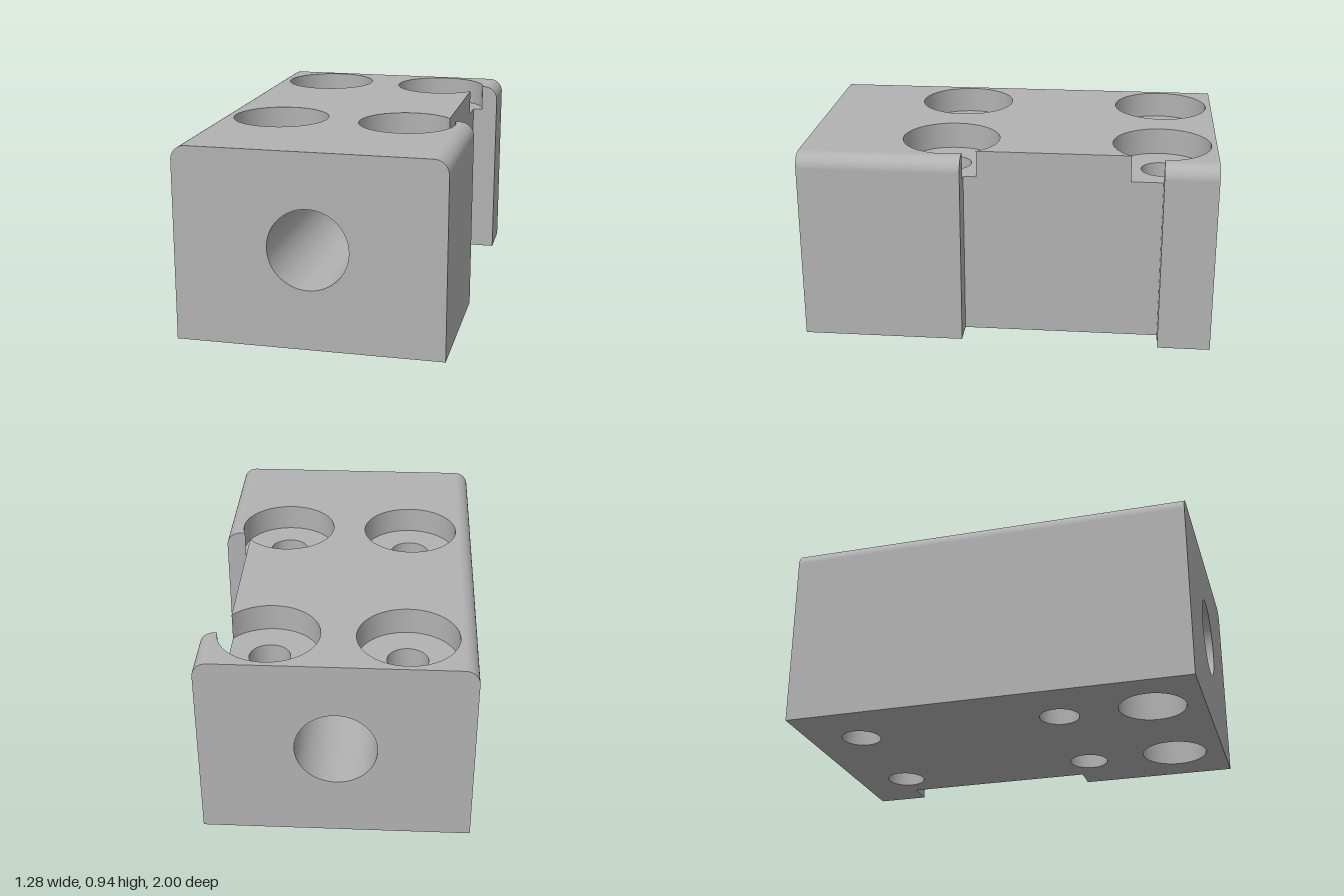
import * as THREE from 'three';

// Overall block, edge rounding, side notch
const W = 0.64, H = 0.94, L = 1, R = 0.07;
const NOTCH = { x: 0.51, z0: -0.745, z1: 0.215 };
// Vertical screw holes with counterbores, horizontal bore, blind holes underneath
const SCREW = { x: 0.32, zs: [-0.735, 0.295], r: 0.097, headR: 0.238, floor: 0.81 };
const BORE = { r: 0.193, y: 0.483 };
const BLIND = { z: 0.75, r: 0.163, depth: 0.3 };
const SEG = 48;

export function createModel() {
  const model = new THREE.Group();
  // Every part is an open surface, so both sides are shown
  const grey = new THREE.MeshStandardMaterial({ color: 0xb2b2b2, side: THREE.DoubleSide });

  const add = (name, geometry, x = 0, y = 0, z = 0) => {
    const mesh = new THREE.Mesh(geometry, grey);
    mesh.name = name;
    mesh.position.set(x, y, z);
    model.add(mesh);
  };

  // Upright flat wall from (x0, z0) to (x1, z1); faces left of its direction seen from below
  const wall = (name, x0, z0, x1, z1, y0, y1) => {
    const geo = new THREE.PlaneGeometry(Math.hypot(x1 - x0, z1 - z0), y1 - y0);
    geo.rotateY(Math.atan2(z0 - z1, x1 - x0));
    add(name, geo, (x0 + x1) / 2, (y0 + y1) / 2, (z0 + z1) / 2);
  };

  const circle = (x, y, r) => new THREE.Path().absarc(x, y, r, 0, Math.PI * 2, true);

  // Horizontal face from [x, z] points and [x, z, r] holes
  const level = (name, points, holes, y, up = true) => {
    const s = up ? -1 : 1;
    const shape = new THREE.Shape(points.map(([x, z]) => new THREE.Vector2(x, s * z)));
    shape.holes = holes.map(([x, z, r]) => circle(x, s * z, r));
    add(name, new THREE.ShapeGeometry(shape, SEG / 2).rotateX(s * Math.PI / 2), 0, y, 0);
  };

  // Points on a counterbore rim, angle measured from +z towards +x
  const rim = (cz, from, to, cx = SCREW.x) => Array.from({ length: SEG + 1 }, (_, i) => {
    const t = from + (to - from) * i / SEG;
    return [cx + SCREW.headR * Math.sin(t), cz + SCREW.headR * Math.cos(t)];
  });

  // Where each left-hand counterbore breaks out into the notch
  const { headR } = SCREW;
  const [zBack, zFront] = SCREW.zs;
  const reach = NOTCH.x - SCREW.x;
  const half = Math.sqrt(headR ** 2 - reach ** 2);
  const dzF = NOTCH.z1 - zFront, dxF = Math.sqrt(headR ** 2 - dzF ** 2);
  const dzB = NOTCH.z0 - zBack, dxB = Math.sqrt(headR ** 2 - dzB ** 2);
  const TAU = Math.PI * 2;
  const arcs = [
    { z: zBack, from: Math.atan2(reach, half), to: Math.atan2(dxB, dzB) - TAU, corner: [NOTCH.x, NOTCH.z0] },
    { z: zFront, from: Math.atan2(dxF, dzF), to: Math.atan2(reach, -half) - TAU, corner: [NOTCH.x, NOTCH.z1] },
  ];
  const [backRim, frontRim] = arcs.map(a => rim(a.z, a.from, a.to));

  // Top face
  const flat = W - R;
  level('topFace', [
    [-flat, L], [flat, L], [flat, NOTCH.z1], ...frontRim,
    ...backRim, [flat, NOTCH.z0], [flat, -L], [-flat, -L],
  ], SCREW.zs.map(z => [-SCREW.x, z, headR]), H);

  // Bottom face
  const bottomHoles = [];
  for (const x of [-SCREW.x, SCREW.x]) {
    for (const z of SCREW.zs) bottomHoles.push([x, z, SCREW.r]);
    bottomHoles.push([x, BLIND.z, BLIND.r]);
  }
  level('bottomFace', [
    [-W, L], [W, L], [W, NOTCH.z1], [NOTCH.x, NOTCH.z1],
    [NOTCH.x, NOTCH.z0], [W, NOTCH.z0], [W, -L], [-W, -L],
  ], bottomHoles, 0, false);

  // Front and back faces with rounded top corners and the bore opening
  for (const side of [1, -1]) {
    const face = new THREE.Shape();
    face.moveTo(-W, 0);
    face.lineTo(W, 0);
    face.lineTo(W, H - R);
    face.absarc(flat, H - R, R, 0, Math.PI / 2);
    face.lineTo(-flat, H);
    face.absarc(-flat, H - R, R, Math.PI / 2, Math.PI);
    face.holes.push(circle(0, BORE.y, BORE.r));
    const geo = new THREE.ShapeGeometry(face, SEG / 2);
    if (side < 0) geo.rotateY(Math.PI);
    add(side > 0 ? 'frontFace' : 'backFace', geo, 0, 0, side * L);
  }

  // Side walls and notch back wall
  wall('rightSide', -W, -L, -W, L, 0, H - R);
  wall('leftSideFront', W, L, W, NOTCH.z1, 0, H - R);
  wall('leftSideBack', W, NOTCH.z0, W, -L, 0, H - R);
  wall('notchWallLower', NOTCH.x, NOTCH.z1, NOTCH.x, NOTCH.z0, 0, SCREW.floor);
  wall('notchWallUpper', NOTCH.x, zFront - half, NOTCH.x, zBack + half, SCREW.floor, H);

  // Notch end walls, stepped where the counterbores cut through
  const notchEnd = (name, z, cutX, dir) => {
    const end = new THREE.Shape();
    end.moveTo(NOTCH.x, 0);
    end.lineTo(W, 0);
    end.lineTo(W, H - R);
    end.absarc(flat, H - R, R, 0, Math.PI / 2);
    end.lineTo(cutX, H);
    end.lineTo(cutX, SCREW.floor);
    end.lineTo(NOTCH.x, SCREW.floor);
    const points = end.getPoints(SEG / 2).map(p => new THREE.Vector2(p.x * dir, p.y));
    const geo = new THREE.ShapeGeometry(new THREE.Shape(points));
    if (dir < 0) geo.rotateY(Math.PI);
    add(name, geo, 0, 0, z);
  };
  notchEnd('notchFrontEnd', NOTCH.z1, SCREW.x + dxF, -1);
  notchEnd('notchBackEnd', NOTCH.z0, SCREW.x + dxB, 1);

  // Rounded top edges
  const edge = (name, side, z0, z1) => {
    const start = side > 0 ? Math.PI / 2 : Math.PI;
    const geo = new THREE.CylinderGeometry(R, R, z1 - z0, SEG / 2, 1, true, start, Math.PI / 2);
    add(name, geo.rotateX(Math.PI / 2), side * flat, H - R, (z0 + z1) / 2);
  };
  edge('rightTopEdge', -1, -L, L);
  edge('leftTopEdgeFront', 1, NOTCH.z1, L);
  edge('leftTopEdgeBack', 1, -L, NOTCH.z0);

  // Hole walls
  const tube = (name, r, y0, y1, x, z, start = 0, length = TAU) => add(name,
    new THREE.CylinderGeometry(r, r, y1 - y0, SEG, 1, true, start, length), x, (y0 + y1) / 2, z);

  add('bore', new THREE.CylinderGeometry(BORE.r, BORE.r, 2 * L, SEG, 1, true).rotateX(Math.PI / 2), 0, BORE.y, 0);

  for (const x of [-SCREW.x, SCREW.x]) {
    arcs.forEach((a, i) => {
      const open = x > 0;
      tube('screwHole', SCREW.r, 0, SCREW.floor, x, a.z);
      tube('counterbore', headR, SCREW.floor, H, x, a.z, open ? a.to : 0, open ? a.from - a.to : TAU);
      const outline = open ? [...[backRim, frontRim][i], a.corner] : rim(a.z, 0, TAU, x).slice(0, -1);
      level('counterboreFloor', outline, [[x, a.z, SCREW.r]], SCREW.floor);
    });
    tube('blindHole', BLIND.r, 0, BLIND.depth, x, BLIND.z);
    add('blindHoleEnd', new THREE.CircleGeometry(BLIND.r, SEG).rotateX(Math.PI / 2), x, BLIND.depth, BLIND.z);
  }

  return model;
}
